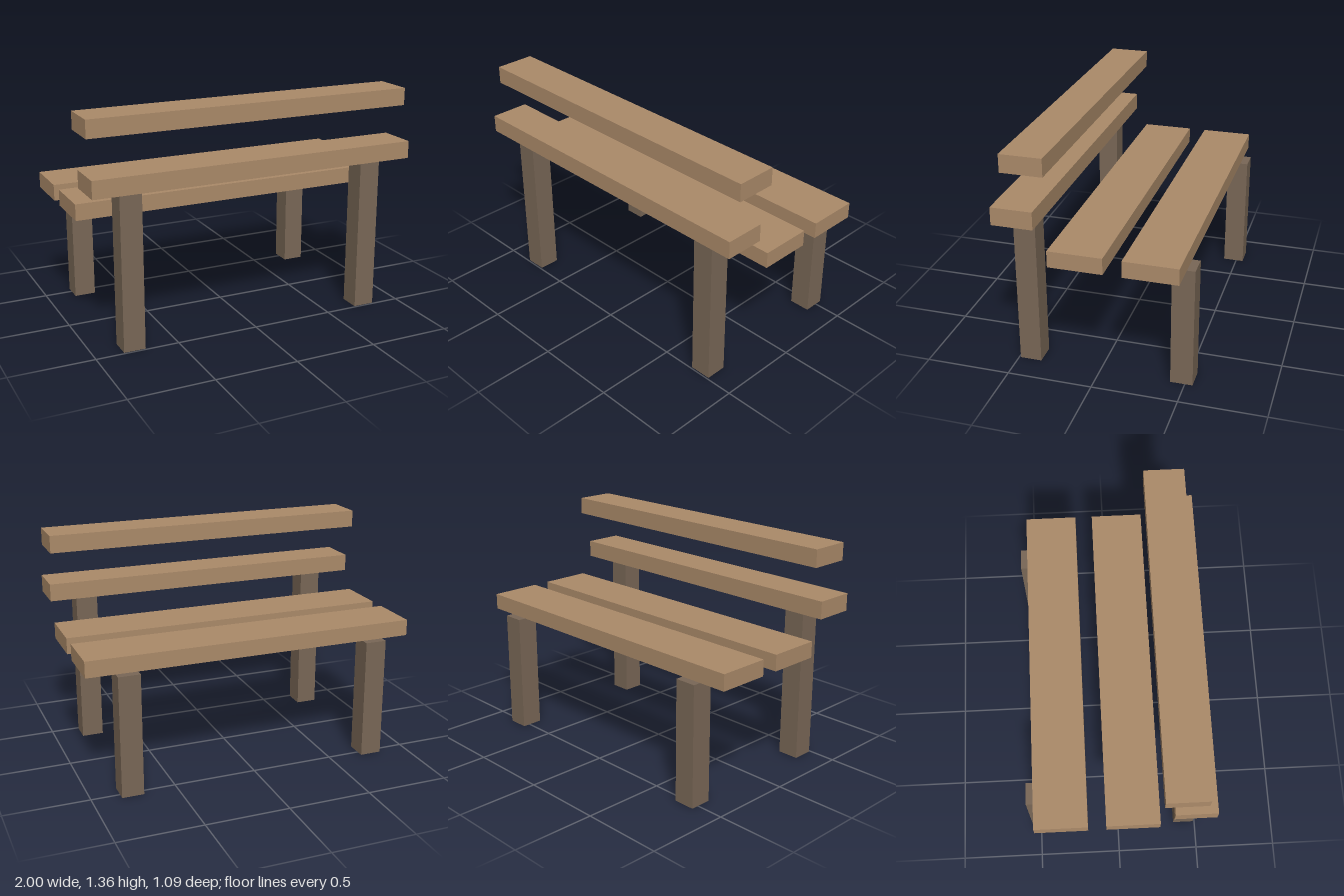
import * as THREE from 'three';

const plankWood = new THREE.MeshStandardMaterial({ name: 'plank wood', color: 0xab8a69 });
const legWood = new THREE.MeshStandardMaterial({ name: 'dark leg wood', color: 0x796756 });

// Box given by its limits along each axis
function addBox(parent, name, material, [x0, x1], [y0, y1], [z0, z1]) {
  const mesh = new THREE.Mesh(new THREE.BoxGeometry(x1 - x0, y1 - y0, z1 - z0), material);
  mesh.name = name;
  mesh.position.set((x0 + x1) / 2, (y0 + y1) / 2, (z0 + z1) / 2);
  parent.add(mesh);
}

export function createModel() {
  const bench = new THREE.Group();
  bench.name = 'bench';

  // Two seat planks and two raised rails, all full length
  const planks = [
    ['outerSeatPlank', [0.73, 0.827], [-0.498, -0.185]],
    ['innerSeatPlank', [0.73, 0.827], [-0.08, 0.233]],
    ['lowerRail', [0.94, 1.045], [0.305, 0.545]],
    ['upperRail', [1.253, 1.358], [0.235, 0.477]],
  ];
  for (const [name, y, z] of planks) addBox(bench, name, plankWood, [-1, 1], y, z);

  // Mirrored pairs of legs: tall under the lower rail, short under the seat
  for (const [side, x] of [['left', [0.7, 0.83]], ['right', [-0.83, -0.7]]]) {
    addBox(bench, side + 'TallLeg', legWood, x, [0, 0.94], [0.362, 0.49]);
    addBox(bench, side + 'ShortLeg', legWood, x, [0, 0.73], [-0.545, -0.415]);
  }
  return bench;
}
